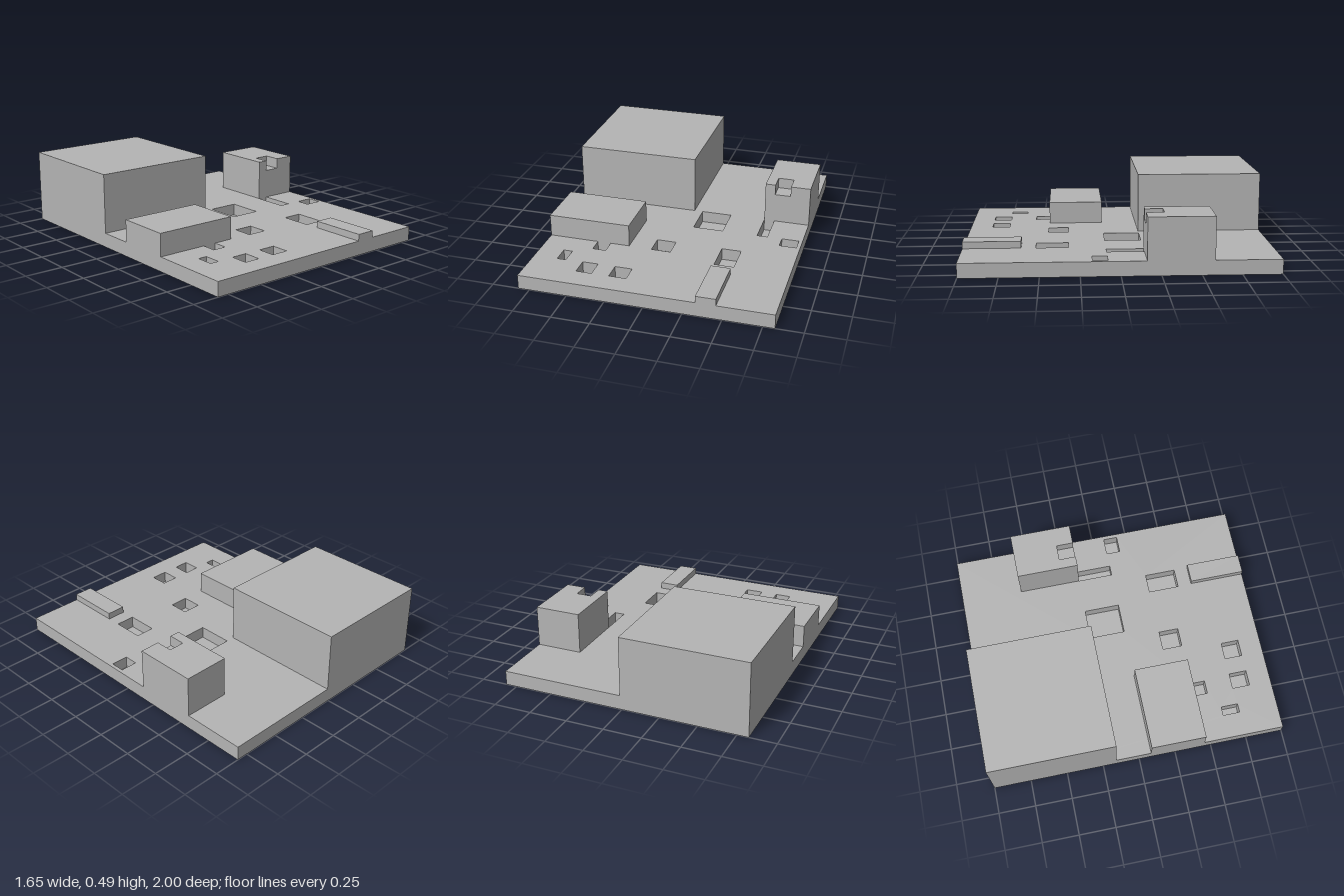
import * as THREE from 'three';

const FLOOR = 0.015; // height of the pocket floors
const DECK = 0.095;  // height of the slab top

// Closed plan outline from [x, z] points
const outline = (pts, Type = THREE.Shape) =>
  new Type(pts.map(([x, z]) => new THREE.Vector2(x, -z)));

const rect = (x0, x1, z0, z1) => [[x0, z0], [x0, z1], [x1, z1], [x1, z0]];

export function createModel() {
  const model = new THREE.Group();
  model.name = 'siteBlockModel';
  const grey = new THREE.MeshStandardMaterial({ color: 0xb4b4b4 });
  grey.name = 'plain grey';

  // Upright prism over a plan shape, from y0 to y1
  function prism(name, shape, y0, y1) {
    const geometry = new THREE.ExtrudeGeometry(shape, { depth: y1 - y0, bevelEnabled: false });
    geometry.rotateX(-Math.PI / 2).translate(0, y0, 0);
    const mesh = new THREE.Mesh(geometry, grey);
    mesh.name = name;
    model.add(mesh);
  }

  const block = (name, x0, x1, z0, z1, y0, y1) =>
    prism(name, outline(rect(x0, x1, z0, z1)), y0, y1);

  // Slab: thin solid bottom and a deck pierced by rectangular pockets
  block('slabBottom', -0.825, 0.825, -1, 1, 0, FLOOR);
  const deck = outline(rect(-0.825, 0.825, -1, 1));
  const pockets = [
    [0.07, 0.275, -0.16, 0.08],
    [-0.115, 0.015, 0.32, 0.455],
    [0.33, 0.46, 0.32, 0.53],
    [-0.49, -0.4, 0.451, 0.55],
    [-0.665, -0.605, 0.62, 0.735],
    [-0.49, -0.385, 0.73, 0.85],
    [-0.27, -0.155, 0.73, 0.85],
    [0.685, 0.8, 0.08, 0.175],
    [0.515, 0.585, -0.16, 0.08],
  ];
  deck.holes = pockets.map((p) => outline(rect(...p), THREE.Path));
  prism('deckWithPockets', deck, FLOOR, DECK);

  // Raised blocks
  block('largeBlock', -0.825, 0.012, -1, -0.16, DECK, 0.49);
  block('lowBlock', -0.825, -0.27, 0.08, 0.451, DECK, 0.245);
  block('frontStrip', 0.333, 0.462, 0.625, 1, DECK, 0.14);

  // Tower with a square notch cut into its front top edge
  block('towerBody', 0.515, 0.825, -0.58, -0.16, DECK, 0.298);
  const notched = outline([
    [0.515, -0.58], [0.515, -0.16], [0.583, -0.16], [0.583, -0.275],
    [0.69, -0.275], [0.69, -0.16], [0.825, -0.16], [0.825, -0.58],
  ]);
  prism('towerNotchedTop', notched, 0.298, 0.37);

  return model;
}
